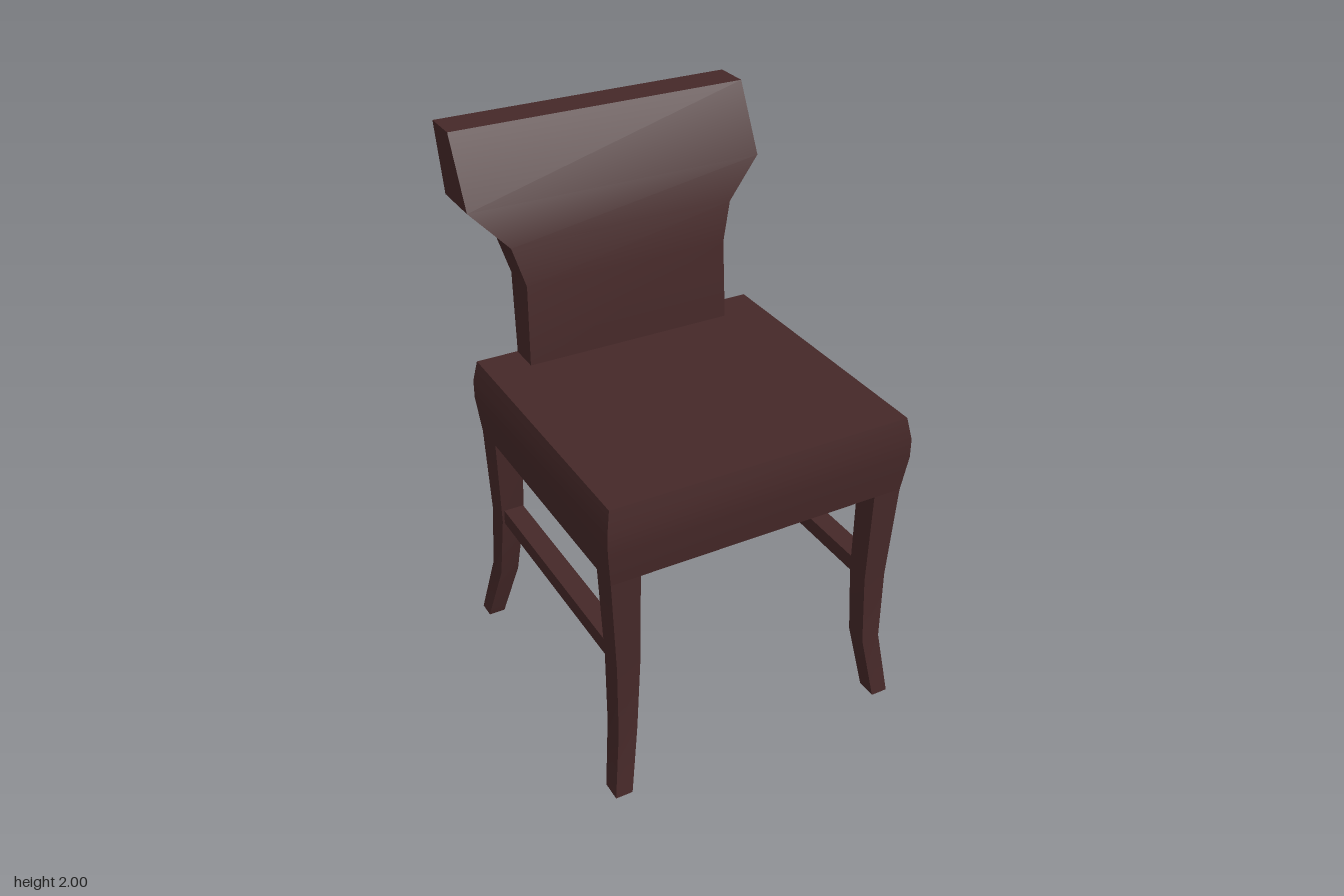
import * as THREE from 'three';
import { toCreasedNormals } from 'three/addons/utils/BufferGeometryUtils.js';

// Solid lofted through horizontal rectangles [y, xMin, xMax, zBack, zFront], bottom to top
function loft(sections) {
  const points = [];
  const index = [];
  for (const [y, x0, x1, z0, z1] of sections) {
    points.push(x0, y, z1, x1, y, z1, x1, y, z0, x0, y, z0);
  }
  for (let s = 0; s < sections.length - 1; s++) {
    for (let i = 0; i < 4; i++) {
      const a = s * 4 + i, b = s * 4 + (i + 1) % 4;
      index.push(a, b, b + 4, a, b + 4, a + 4);
    }
  }
  const t = (sections.length - 1) * 4;
  index.push(0, 2, 1, 0, 3, 2, t, t + 1, t + 2, t, t + 2, t + 3);
  const geometry = new THREE.BufferGeometry();
  geometry.setAttribute('position', new THREE.Float32BufferAttribute(points, 3));
  geometry.setIndex(index);
  return toCreasedNormals(geometry, 0.6);
}

export function createModel() {
  const chair = new THREE.Group();
  chair.name = 'chair';
  const wood = new THREE.MeshStandardMaterial({ color: 0x452828 });
  const add = (name, geometry) => {
    const mesh = new THREE.Mesh(geometry, wood);
    mesh.name = name;
    chair.add(mesh);
  };

  // Thick seat with gently bulging sides
  add('seat', loft([
    [0.895, -0.55, 0.55, -0.422, 0.613],
    [1.03, -0.565, 0.565, -0.436, 0.63],
    [1.10, -0.565, 0.565, -0.436, 0.63],
    [1.18, -0.55, 0.55, -0.424, 0.615],
  ]));

  // Backrest: narrow waist, flared top, swept backwards
  const back = [
    [1.175, 0.395, -0.42, -0.305],
    [1.48, 0.388, -0.45, -0.315],
    [1.62, 0.427, -0.48, -0.34],
    [1.76, 0.56, -0.57, -0.375],
    [2.0, 0.56, -0.635, -0.50],
  ];
  add('backrest', loft(back.map(([y, w, z0, z1]) => [y, -w, w, z0, z1])));

  // Sabre legs: shared x profile [y, inner, outer] and z profiles [back, front]
  const legX = [[0, 0.50, 0.563], [0.25, 0.46, 0.53], [0.53, 0.445, 0.53], [0.9, 0.445, 0.55]];
  const frontZ = [[0.56, 0.635], [0.517, 0.60], [0.512, 0.60], [0.515, 0.613]];
  const backZ = [[-0.545, -0.48], [-0.48, -0.40], [-0.436, -0.342], [-0.422, -0.305]];

  for (const [side, s] of [['left', 1], ['right', -1]]) {
    const span = (a, b) => (s > 0 ? [a, b] : [-b, -a]);
    const leg = (zs) => loft(legX.map(([y, a, b], i) => [y, ...span(a, b), ...zs[i]]));
    add(side + 'FrontLeg', leg(frontZ));
    add(side + 'BackLeg', leg(backZ));

    // Side stretcher between front and back leg
    add(side + 'Stretcher', loft([
      [0.52, ...span(0.447, 0.522), -0.36, 0.53],
      [0.58, ...span(0.447, 0.522), -0.36, 0.53],
    ]));
  }
  return chair;
}
